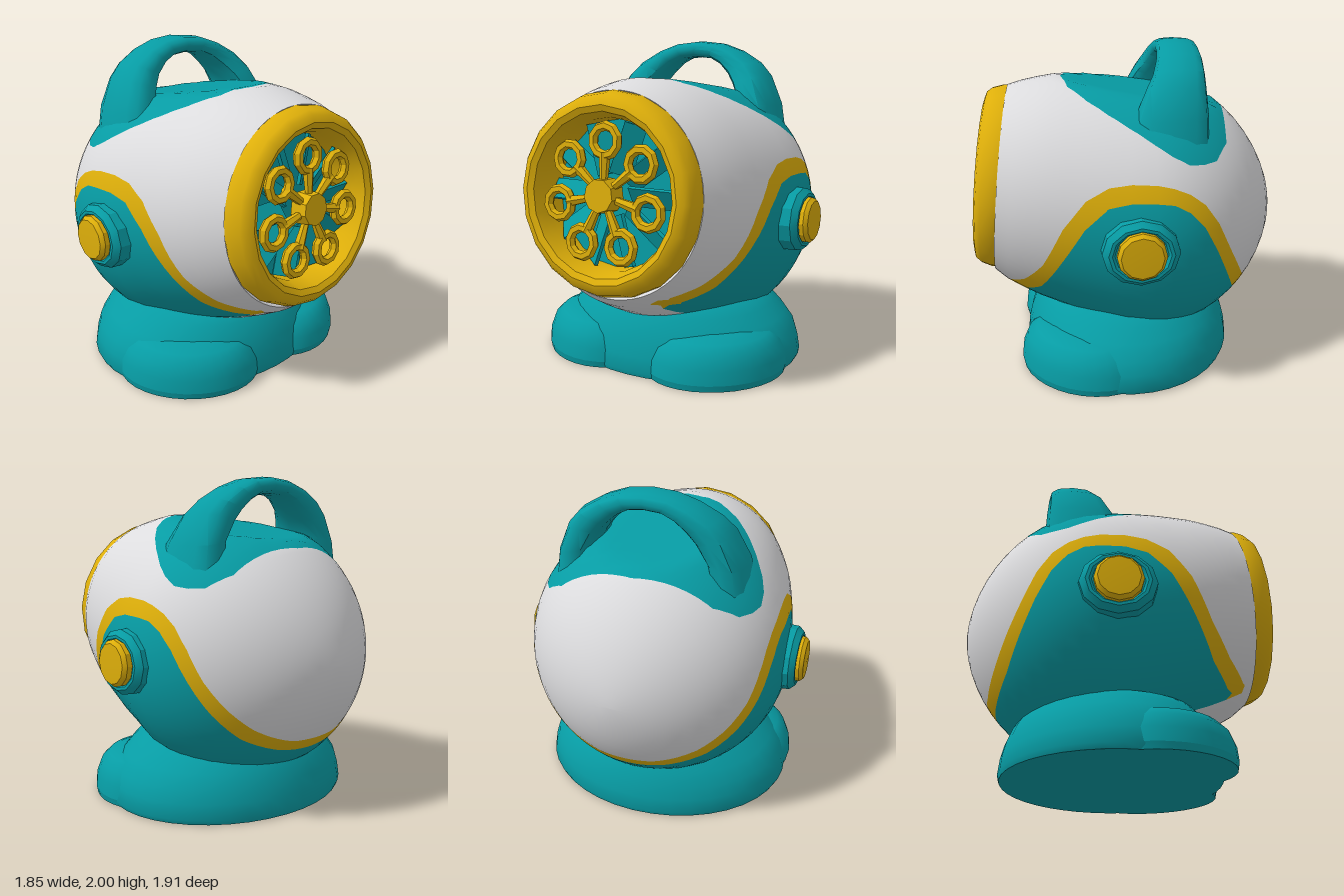
import * as THREE from 'three';
import { toCreasedNormals } from 'three/addons/utils/BufferGeometryUtils.js';

const mat = (name, color) => {
  const m = new THREE.MeshStandardMaterial({ color });
  m.name = name;
  return m;
};

// Closed skin over a list of rings (same point count), turned outward
function loft(rings) {
  const n = rings[0].length, pos = [], idx = [];
  rings.forEach(r => r.forEach(p => pos.push(...p)));
  for (let i = 0; i < rings.length - 1; i++)
    for (let j = 0; j < n; j++) {
      const a = i * n + j, b = i * n + (j + 1) % n;
      idx.push(a, b, b + n, a, b + n, a + n);
    }
  const end = (rings.length - 1) * n;
  for (let j = 1; j < n - 1; j++) idx.push(0, j + 1, j, end, end + j, end + j + 1);
  const v = i => new THREE.Vector3().fromArray(pos, i * 3);
  let volume = 0;
  for (let i = 0; i < idx.length; i += 3) volume += v(idx[i]).dot(v(idx[i + 1]).cross(v(idx[i + 2])));
  if (volume < 0) idx.reverse();
  const g = new THREE.BufferGeometry();
  g.setAttribute('position', new THREE.Float32BufferAttribute(pos, 3));
  g.setIndex(idx);
  return g;
}

// Linear lookup in [input, value] pairs
function lookup(table, t) {
  for (let i = 1; i < table.length; i++) {
    const [a, va] = table[i - 1], [b, vb] = table[i];
    if (t <= b || i === table.length - 1) return va + (vb - va) * Math.max(0, t - a) / (b - a);
  }
}

// Cut triangles along f = 0; returns [inside, outside]
function split(tris, f) {
  return [1, -1].map(sign => {
    const out = [];
    for (const tri of tris) {
      const d = tri.map(p => sign * f(p[0], p[1], p[2])), poly = [];
      for (let i = 0; i < 3; i++) {
        const j = (i + 1) % 3;
        if (d[i] >= 0) poly.push(tri[i]);
        if ((d[i] >= 0) !== (d[j] >= 0)) {
          const t = d[i] / (d[i] - d[j]);
          poly.push(tri[i].map((c, k) => c + (tri[j][k] - c) * t));
        }
      }
      for (let i = 1; i < poly.length - 1; i++) out.push([poly[0], poly[i], poly[i + 1]]);
    }
    return out;
  });
}

function fromTris(tris) {
  const pts = tris.flat(), g = new THREE.BufferGeometry();
  g.setAttribute('position', new THREE.Float32BufferAttribute(pts.flatMap(p => p.slice(0, 3)), 3));
  g.setAttribute('normal', new THREE.Float32BufferAttribute(pts.flatMap(p => p.slice(3)), 3));
  return g;
}

const lathe = (profile, sides) =>
  new THREE.LatheGeometry(profile.map(p => new THREE.Vector2(...p)), sides);

export function createModel() {
  const model = new THREE.Group();
  const teal = mat('teal', 0x079ca4), yellow = mat('yellow', 0xdeaf0a), white = mat('white', 0xdcdcde);
  const add = (name, geo, material, parent = model) => {
    const m = new THREE.Mesh(geo, material);
    m.name = name;
    parent.add(m);
    return m;
  };

  // Body: ball at the back running into a tilted round mouth; stations are [z, centre y, radius]
  const stations = [];
  for (let i = 0; i <= 14; i++) {
    const a = i / 14 * Math.PI / 2;
    stations.push([-0.13 - 0.82 * Math.cos(a), 0.955 - 0.025 * Math.cos(a), Math.max(0.001, 0.825 * Math.sin(a) ** 1.15)]);
  }
  stations.push([0.02, 0.97, 0.815], [0.15, 1, 0.79], [0.28, 1.025, 0.765], [0.4, 1.05, 0.735], [0.5, 1.07, 0.71],
    [0.6, 1.09, 0.675], [0.7, 1.11, 0.635], [0.78, 1.13, 0.59], [0.6, 1.11, 0.44]);
  const body = toCreasedNormals(loft(stations.map(([z, c, r]) => {
    const lean = 0.1 * Math.min(1, Math.max(0, (z + 0.13) / 0.8)), ring = [];
    for (let j = 0; j < 64; j++) {
      const a = j / 64 * Math.PI * 2, y = r * Math.sin(a), zz = z - lean * y;
      ring.push([r * Math.cos(a), Math.min(c + y, 1.715 + 0.16 * zz), zz]);   // flattened top
    }
    return ring;
  })), 0.9);
  const P = body.attributes.position.array, N = body.attributes.normal.array, skin = [];
  for (let i = 0; i < P.length; i += 9)
    skin.push([0, 3, 6].map(k => [...P.slice(i + k, i + k + 3), ...N.slice(i + k, i + k + 3)]));

  // Painted areas of the body
  const topWidth = [[-0.9, -2], [-0.61, 0.02], [-0.6, 0.25], [-0.57, 0.45], [-0.52, 0.56], [-0.45, 0.62], [-0.36, 0.665],
    [-0.28, 0.68], [-0.2, 0.66], [-0.1, 0.62], [0.05, 0.53], [0.15, 0.46], [0.25, 0.37], [0.33, 0.27], [0.38, 0.18], [0.4, 0.05], [0.7, -2]];
  const bandTop = [[-0.95, 0.42], [-0.76, 0.49], [-0.68, 0.65], [-0.57, 0.87], [-0.47, 1.08], [-0.39, 1.18],
    [-0.28, 1.255], [-0.15, 1.29], [0, 1.3], [0.14, 1.28], [0.22, 1.245], [0.3, 1.185], [0.43, 1], [0.51, 0.81],
    [0.62, 0.655], [0.75, 0.56], [0.9, 0.54]];
  const bandBottom = [[-0.95, 0.33], [-0.77, 0.37], [-0.68, 0.46], [-0.6, 0.6], [-0.545, 0.76], [-0.41, 1.026], [-0.32, 1.13],
    [-0.22, 1.185], [-0.05, 1.205], [0.1, 1.19], [0.2, 1.145], [0.33, 0.98], [0.43, 0.79], [0.54, 0.6], [0.645, 0.51], [0.9, 0.47]];
  const offChin = (x, y, z) => Math.max(Math.abs(x) - 0.23 - (0.55 - y) * 0.45, 0.3 - z);
  const below = table => (x, y, z) => Math.min(lookup(table, z) - y, offChin(x, y, z));
  const [topPatch, lower] = split(skin, (x, y, z) => Math.min(lookup(topWidth, z) - Math.abs(x), y - 1.2));
  const [sides, shell] = split(lower, below(bandTop));
  const [sidePanels, band] = split(sides, below(bandBottom));
  add('topPanel', fromTris(topPatch), teal);
  add('bodyShell', fromTris(shell), white);
  add('sidePanels', fromTris(sidePanels), teal);
  add('trimBand', fromTris(band), yellow);

  // Base: oval skirt, a little flatter at the front; rows are [y, half width, half depth]
  const skirt = [[0, 0.81, 0.68], [0.03, 0.825, 0.69], [0.12, 0.81, 0.68], [0.2, 0.785, 0.66], [0.28, 0.72, 0.63],
    [0.35, 0.64, 0.59], [0.4, 0.58, 0.55], [0.42, 0.5, 0.48]];
  add('base', toCreasedNormals(loft(skirt.map(([y, rx, rz]) => {
    const ring = [];
    for (let j = 0; j < 40; j++) {
      const a = j / 40 * Math.PI * 2, s = Math.sin(a);
      ring.push([rx * Math.cos(a), y, rz * s * (s > 0 ? 0.95 : 1.01)]);
    }
    return ring;
  })), 0.7), teal);

  // Handle: rows are [outer x, outer y, inner x, inner y, front z, back z]
  const half = [[0.6, 1.42, 0.36, 1.5, 0, -0.46], [0.57, 1.6, 0.35, 1.63, -0.03, -0.455], [0.49, 1.78, 0.285, 1.73, -0.1, -0.45],
    [0.41, 1.865, 0.235, 1.79, -0.145, -0.45], [0.28, 1.94, 0.17, 1.85, -0.175, -0.45], [0.15, 1.985, 0.1, 1.885, -0.19, -0.445]];
  const mirrored = half.map(([a, b, c, ...rest]) => [-a, b, -c, ...rest]).reverse();
  add('handle', toCreasedNormals(loft([...half, [0, 2, 0, 1.895, -0.195, -0.445], ...mirrored].map(([ox, oy, ix, iy, zf, zb]) => {
    const ring = [];
    for (let j = 0; j < 12; j++) {
      const a = j / 12 * Math.PI * 2, round = t => Math.sign(t) * Math.pow(Math.abs(t), 0.75);
      const u = 0.5 + 0.5 * round(Math.cos(a)), w = 0.5 + 0.5 * round(Math.sin(a));
      ring.push([ix + (ox - ix) * u, iy + (oy - iy) * u, zb + (zf - zb) * w]);
    }
    return ring;
  })), 0.8), teal);

  // Mirrored feet wrapping the front corners, and side knobs
  const footGeo = toCreasedNormals(lathe([[0, 0], [0.98, 0], [1, 0.04], [0.98, 0.12], [0.9, 0.2], [0.76, 0.25], [0.5, 0.28], [0, 0.29]], 32), 0.7);
  const collarGeo = toCreasedNormals(lathe([[0.225, 0], [0.22, 0.105], [0.185, 0.14], [0.165, 0.14], [0.15, 0.125], [0, 0.12]], 12), 0.4);
  const knobGeo = toCreasedNormals(lathe([[0.14, 0], [0.14, 0.065], [0.12, 0.088], [0, 0.093]], 12), 0.4);
  for (const s of [1, -1]) {
    const foot = add(s > 0 ? 'leftFoot' : 'rightFoot', footGeo, teal);
    foot.position.set(s * 0.415, 0, 0.27);
    foot.rotation.y = s * Math.PI / 4;
    foot.scale.set(0.45, 1, 0.37);
    const knob = new THREE.Group();
    knob.name = s > 0 ? 'leftKnob' : 'rightKnob';
    knob.position.set(s * 0.74, 0.93, -0.03);
    knob.rotation.z = -s * Math.PI / 2;
    add('collar', collarGeo, teal, knob).scale.x = 0.88;
    add('cap', knobGeo, yellow, knob).position.y = 0.092;
    model.add(knob);
  }

  // Mouth: tilted rim with fan and bubble wands
  const mouth = new THREE.Group();
  mouth.name = 'mouth';
  mouth.position.set(0, 1.135, 0.77);
  mouth.rotation.x = -0.1;
  model.add(mouth);
  add('rim', toCreasedNormals(lathe([[0.5, -0.02], [0.588, 0], [0.585, 0.04], [0.565, 0.1], [0.54, 0.13], [0.5, 0.143], [0.465, 0.125],
    [0.435, 0.04], [0.43, -0.1], [0.5, -0.1], [0.5, -0.02]], 20).rotateX(Math.PI / 2), 0.6), yellow, mouth);
  add('bowl', new THREE.CircleGeometry(0.48, 24), teal, mouth).position.z = -0.09;
  const bladeGeo = new THREE.BoxGeometry(0.3, 0.13, 0.02).rotateX(0.6).translate(0.27, 0, -0.02);
  for (let i = 0; i < 10; i++) add('fanBlade', bladeGeo, teal, mouth).rotation.z = i * Math.PI / 5;
  add('hub', toCreasedNormals(new THREE.CylinderGeometry(0.095, 0.105, 0.1, 9).rotateX(Math.PI / 2), 0.4), yellow, mouth).position.z = 0.085;
  const loopGeo = toCreasedNormals(new THREE.TorusGeometry(0.083, 0.029, 6, 10).translate(0.305, 0, 0), 0.4);
  const armGeo = toCreasedNormals(new THREE.CylinderGeometry(0.022, 0.034, 0.16, 6).rotateZ(Math.PI / 2).translate(0.16, 0, 0), 0.4);
  for (let i = 0; i < 7; i++) {
    const wand = new THREE.Group();
    wand.name = 'bubbleWand';
    wand.position.z = 0.085;
    wand.rotation.z = Math.PI / 2 + i * Math.PI * 2 / 7;
    add('wandLoop', loopGeo, yellow, wand);
    add('wandArm', armGeo, yellow, wand);
    mouth.add(wand);
  }
  return model;
}
